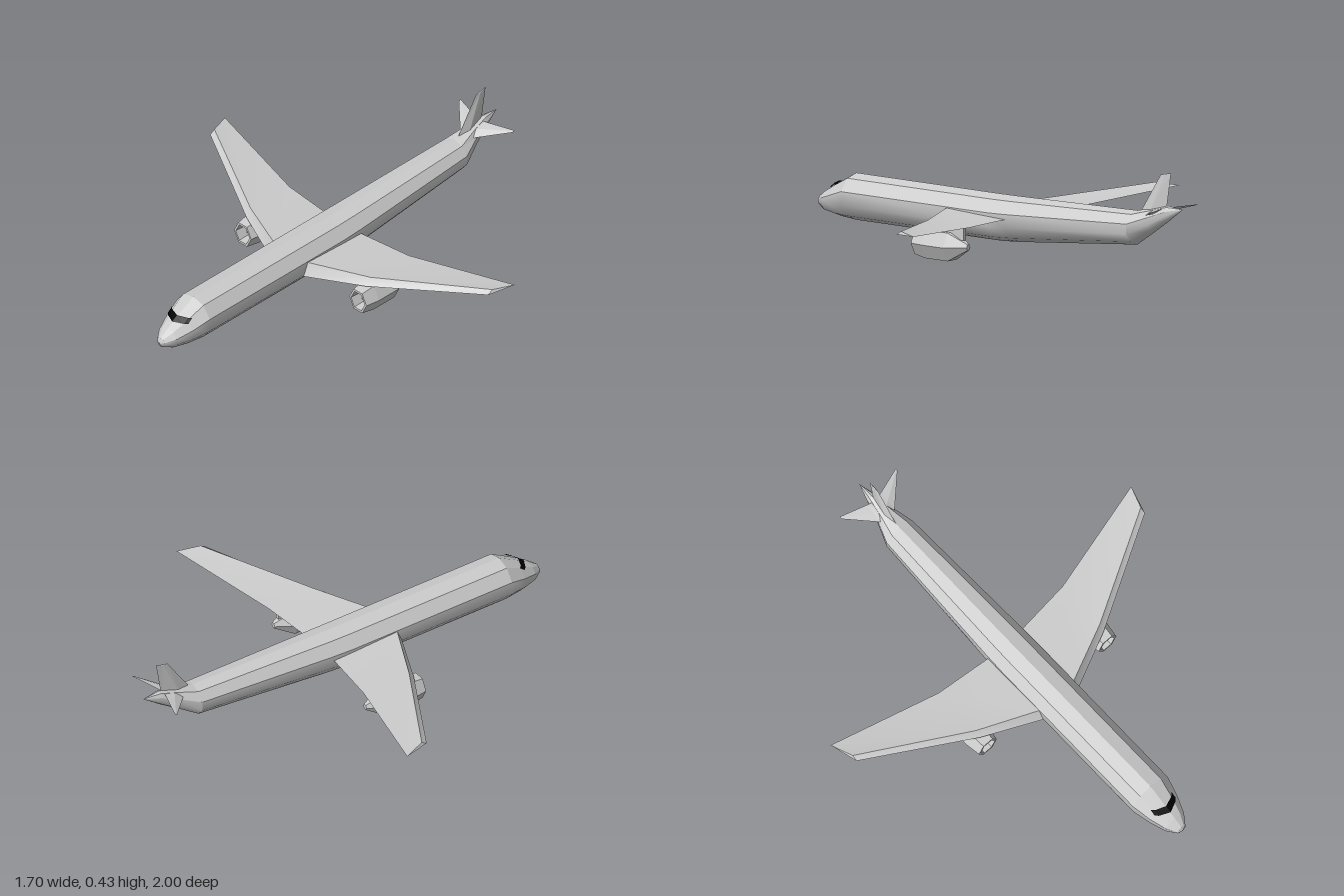
import * as THREE from 'three';
import { toCreasedNormals } from 'three/addons/utils/BufferGeometryUtils.js';

const paint = new THREE.MeshStandardMaterial({ color: 0xcccccc });
paint.name = 'grey paint';
const glass = new THREE.MeshStandardMaterial({ color: 0x000000, side: THREE.DoubleSide });
glass.name = 'black glass';

// Skin a list of equal-length cross-sections; faces are turned outward.
function loft(rings, { closed = true, crease = 0 } = {}) {
  const n = rings[0].length;
  const pts = rings.flat().map((p) => new THREE.Vector3(...p));
  const mid = pts.reduce((s, p) => s.add(p), new THREE.Vector3()).divideScalar(pts.length);
  const idx = [];
  for (let i = 0; i < rings.length - 1; i++) {
    for (let j = 0; j < (closed ? n : n - 1); j++) {
      const k = (j + 1) % n;
      const a = i * n + j, b = i * n + k, c = b + n, d = a + n;
      idx.push(a, d, c, a, c, b);
    }
  }
  if (closed) {
    const last = (rings.length - 1) * n;
    for (let j = 1; j < n - 1; j++) idx.push(0, j, j + 1, last, last + j + 1, last + j);
  }
  let volume = 0;
  const rel = pts.map((p) => p.clone().sub(mid));
  for (let i = 0; i < idx.length; i += 3) {
    volume += rel[idx[i]].dot(rel[idx[i + 1]].clone().cross(rel[idx[i + 2]]));
  }
  if (volume < 0) idx.reverse();
  let geo = new THREE.BufferGeometry().setFromPoints(pts);
  geo.setIndex(idx);
  if (crease === 'smooth') {
    geo.computeVertexNormals();
  } else if (crease > 0) {
    geo = toCreasedNormals(geo, crease);
  } else {
    geo = geo.toNonIndexed();
    geo.computeVertexNormals();
  }
  return geo;
}

function add(parent, name, geo, mat = paint) {
  const mesh = new THREE.Mesh(geo, mat);
  mesh.name = name;
  parent.add(mesh);
  return mesh;
}

// Fuselage stations: z, bottom, top, half width
const stations = [
  [1.0, 0.1, 0.1, 0],
  [0.992, 0.078, 0.122, 0.022],
  [0.95, 0.058, 0.152, 0.052],
  [0.88, 0.045, 0.193, 0.078],
  [0.8, 0.038, 0.237, 0.098],
  [0, 0.038, 0.237, 0.098],
  [-0.1, 0.044, 0.238, 0.096],
  [-0.75, 0.105, 0.25, 0.073],
  [-0.84, 0.165, 0.27, 0.042],
  [-0.92, 0.22, 0.288, 0.022],
  [-1.0, 0.28, 0.28, 0],
];
const upper = [[-1, 0.66], [-0.6, 0.92], [0, 1], [0.6, 0.92], [1, 0.66]];
const lower = [[1, 0.66], [1, 0.36], [0.6, 0.12], [0, 0], [-0.6, 0.12], [-1, 0.36], [-1, 0.66]];
const section = (profile) => ([z, bottom, top, w]) =>
  profile.map(([u, v]) => [u * w, bottom + v * (top - bottom), z]);

function buildFuselage(parent) {
  const top = stations.map(section(upper));
  const belly = stations.map(section(lower));
  add(parent, 'fuselageTop', loft(top, { closed: false }));
  add(parent, 'fuselageBelly', loft(belly.slice(0, 8), { closed: false, crease: 'smooth' }));
  add(parent, 'tailConeBelly', loft(belly.slice(7), { closed: false, crease: 'smooth' }));

  // Windshield band wrapped round the nose
  const band = [[-0.058, 0.862], [-0.046, 0.875], [0, 0.893], [0.046, 0.875], [0.058, 0.862]];
  const rows = [[0.187, 0], [0.168, 0.028]].map(([y, dz]) =>
    band.map(([x, z]) => [x * 1.02, y + 0.005, z + dz * (1 - Math.abs(x) * 3) + 0.004]));
  add(parent, 'windshield', loft(rows, { closed: false }), glass);
}

// Wing stations: x, leading z, trailing z, lower y, upper y, trailing y
function buildWing(parent, side) {
  const rings = [
    [0.03, 0.275, -0.095, 0.1, 0.166, 0.15],
    [0.1, 0.243, -0.1, 0.106, 0.165, 0.15],
    [0.35, 0.13, -0.125, 0.124, 0.158, 0.152],
    [0.815, -0.125, -0.24, 0.184, 0.199, 0.191],
  ].map(([x, lead, trail, lo, hi, ty], i) => [
    [side * x, lo, lead],
    [side * x, hi, lead - 0.025],
    [side * (i === 3 ? 0.85 : x), ty, trail - (i === 3 ? 0.008 : 0)],
  ]);
  add(parent, side > 0 ? 'leftWing' : 'rightWing', loft(rings, { crease: 0.45 }));
}

// Six-sided engine pod with a hollow intake
function buildEngine(parent, side) {
  const engine = new THREE.Group();
  engine.name = side > 0 ? 'leftEngine' : 'rightEngine';
  engine.position.set(side * 0.338, 0.06, 0);
  const rings = [
    [-0.11, 0.012, 0.005], [-0.02, 0.06, 0], [0.1, 0.06, 0],
    [0.165, 0.05, 0], [0.165, 0.04, 0], [0.11, 0.036, 0],
  ].map(([z, r, dy]) => Array.from({ length: 6 }, (_, k) => {
    const a = k * Math.PI / 3;
    return [r * Math.cos(a), r * 1.15 * Math.sin(a) + dy, z];
  }));
  add(engine, 'enginePod', loft(rings));
  const cone = new THREE.ConeGeometry(0.026, 0.035, 6).toNonIndexed();
  cone.rotateY(Math.PI / 2).rotateX(Math.PI / 2).computeVertexNormals();
  add(engine, 'engineSpinner', cone).position.z = 0.127;
  add(engine, 'pylon', new THREE.BoxGeometry(0.018, 0.05, 0.18)).position.set(0, 0.058, 0.0);
  parent.add(engine);
}

function buildTail(parent) {
  // Upright fin, diamond-shaped in section: y, leading z, trailing z, half thickness
  const fin = [[0.24, -0.763, -0.905, 0.013], [0.415, -0.878, -0.935, 0.003]].map(
    ([y, lead, trail, t], i) => {
      const m = lead + (trail - lead) * 0.4;
      return [[0, y, lead], [t, y, m], [0, y + i * 0.013, trail], [-t, y, m]];
    });
  add(parent, 'tailFin', loft(fin));

  // Swept tailplanes: x, leading z and y, trailing z and y, half thickness
  for (const side of [-1, 1]) {
    const plane = [
      [0.005, -0.79, 0.236, -0.9, 0.276, 0.009],
      [0.04, -0.825, 0.241, -0.91, 0.276, 0.007],
      [0.158, -0.936, 0.272, -0.947, 0.277, 0.001],
    ].map(([x, lz, ly, tz, ty, t]) => {
      const mz = (lz + tz) / 2, my = (ly + ty) / 2;
      return [[x, ly, lz], [x, my + t, mz], [x, ty, tz], [x, my - t, mz]]
        .map(([px, py, pz]) => [side * px, py, pz]);
    });
    add(parent, side > 0 ? 'leftTailplane' : 'rightTailplane', loft(plane));
  }
}

export function createModel() {
  const model = new THREE.Group();
  model.name = 'airliner';
  buildFuselage(model);
  for (const side of [-1, 1]) {
    buildWing(model, side);
    buildEngine(model, side);
  }
  buildTail(model);
  return model;
}
